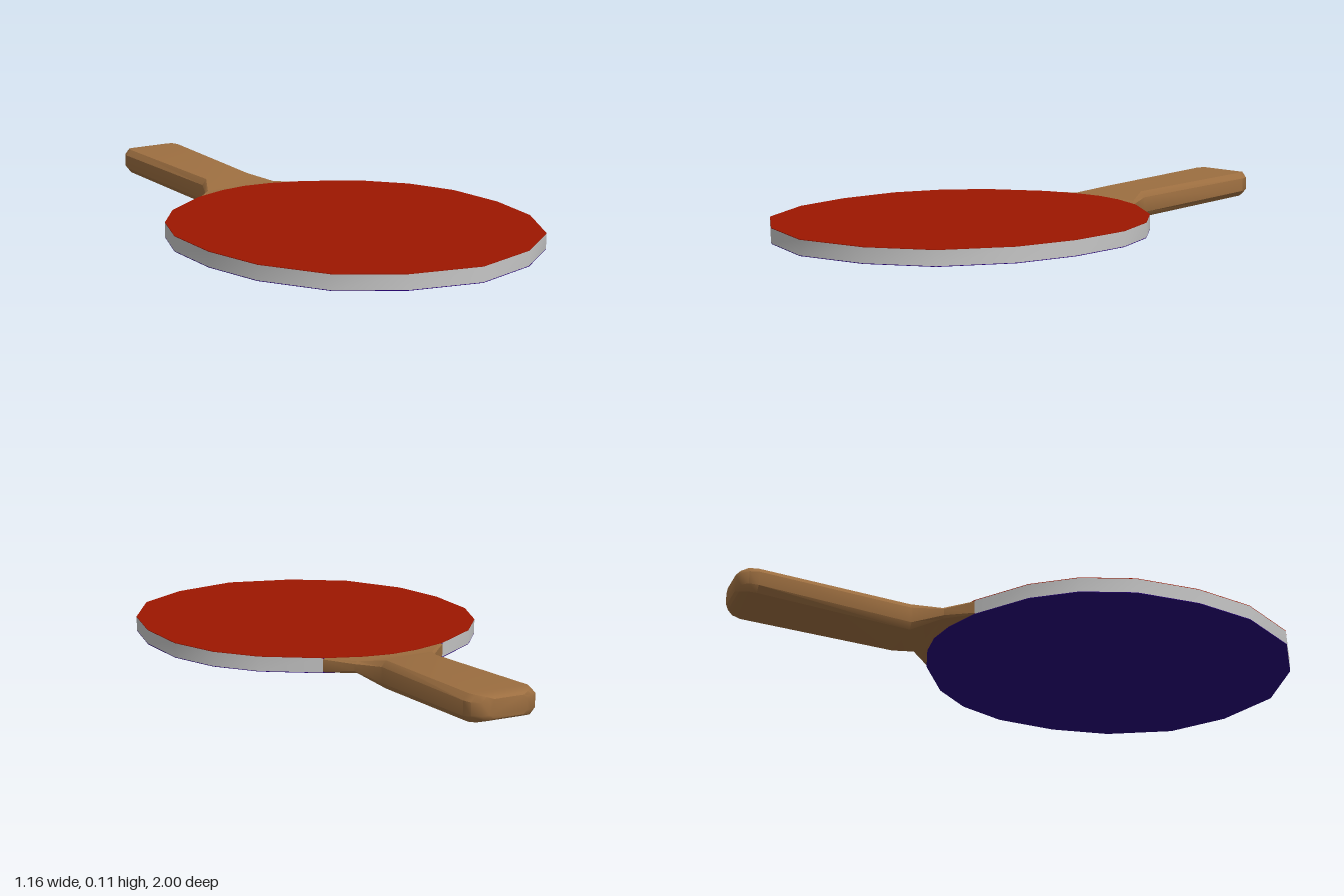
import * as THREE from 'three';
import { toCreasedNormals } from 'three/addons/utils/BufferGeometryUtils.js';

const paint = (name, color) => {
  const m = new THREE.MeshStandardMaterial({ color });
  m.name = name;
  return m;
};

// Left side of a mirrored outline, running from the back to the tip
const mirror = (half) => half.filter(([x]) => x > 0).reverse().map(([x, z]) => [-x, z]);

// Thin sheet between two heights, from the right half of an outline given as [x, z]
function sheet(half, bottom, top) {
  const shape = new THREE.Shape([...half, ...mirror(half)].map(([x, z]) => new THREE.Vector2(x, z)));
  const geo = new THREE.ExtrudeGeometry(shape, { depth: top - bottom, bevelEnabled: false });
  return geo.rotateX(Math.PI / 2).translate(0, top, 0);
}

// Upright wall following the outline, open at the back where the neck joins
function wall(half, bottom, top) {
  const path = [...mirror(half), ...half];
  const geo = new THREE.PlaneGeometry(1, 1, path.length - 1, 1);
  const pos = geo.attributes.position;
  for (let i = 0; i < pos.count; i++) {
    const [x, z] = path[i % path.length];
    pos.setXYZ(i, x, i < path.length ? top : bottom, z);
  }
  return toCreasedNormals(geo, 0.7);
}

// Loft of chamfered rectangles: [z, half width, bottom, top, chamfer x, chamfer y]
function loft(sections) {
  const rings = sections.map(([z, w, b, t, cx, cy]) => [
    [w, b + cy], [w, t - cy], [w - cx, t], [cx - w, t],
    [-w, t - cy], [-w, b + cy], [cx - w, b], [w - cx, b],
  ].map(([x, y]) => [x, y, z]));
  const pos = [];
  const tri = (...pts) => pts.forEach((p) => pos.push(...p));
  for (let i = 0; i < rings.length - 1; i++) {
    for (let j = 0; j < 8; j++) {
      const k = (j + 1) % 8, a = rings[i], c = rings[i + 1];
      tri(a[j], c[j], a[k]);
      tri(a[k], c[j], c[k]);
    }
  }
  const first = rings[0], last = rings[rings.length - 1];
  for (let j = 1; j < 7; j++) {
    tri(first[0], first[j], first[j + 1]);
    tri(last[0], last[j + 1], last[j]);
  }
  const geo = new THREE.BufferGeometry();
  geo.setAttribute('position', new THREE.Float32BufferAttribute(pos, 3));
  return toCreasedNormals(geo, 0.7);
}

export function createModel() {
  const group = new THREE.Group();
  const add = (name, geo, mat) => {
    const mesh = new THREE.Mesh(geo, mat);
    mesh.name = name;
    group.add(mesh);
  };

  // Blade outline from the tip to the shoulder
  const rim = [
    [0, 0.995], [0.235, 0.935], [0.42, 0.81], [0.54, 0.6], [0.58, 0.39],
    [0.57, 0.17], [0.505, 0], [0.4, -0.13], [0.225, -0.247],
  ];
  const face = [...rim, [0.1, -0.29], [0, -0.303]];

  const edge = paint('edge grey', 0xc5c5c5);
  edge.side = THREE.DoubleSide;
  add('bladeEdge', wall(rim, 0.033, 0.081), edge);
  add('topRubber', sheet(face, 0.081, 0.083), paint('red rubber', 0x9d1600));
  add('bottomRubber', sheet(face, 0.031, 0.033), paint('dark blue rubber', 0x260077));

  // Neck flares into the blade, grip thickens and then rounds off at the end
  add('handle', loft([
    [-0.247, 0.225, 0.033, 0.081, 0.006, 0.004],
    [-0.325, 0.15, 0.039, 0.078, 0.01, 0.008],
    [-0.42, 0.104, 0.004, 0.097, 0.016, 0.02],
    [-0.94, 0.121, 0.03, 0.117, 0.018, 0.02],
    [-0.97, 0.112, 0.034, 0.117, 0.018, 0.02],
    [-0.99, 0.088, 0.04, 0.113, 0.016, 0.016],
    [-1.0, 0.065, 0.047, 0.107, 0.014, 0.012],
  ]), paint('wood', 0x9c6e40));

  return group;
}
